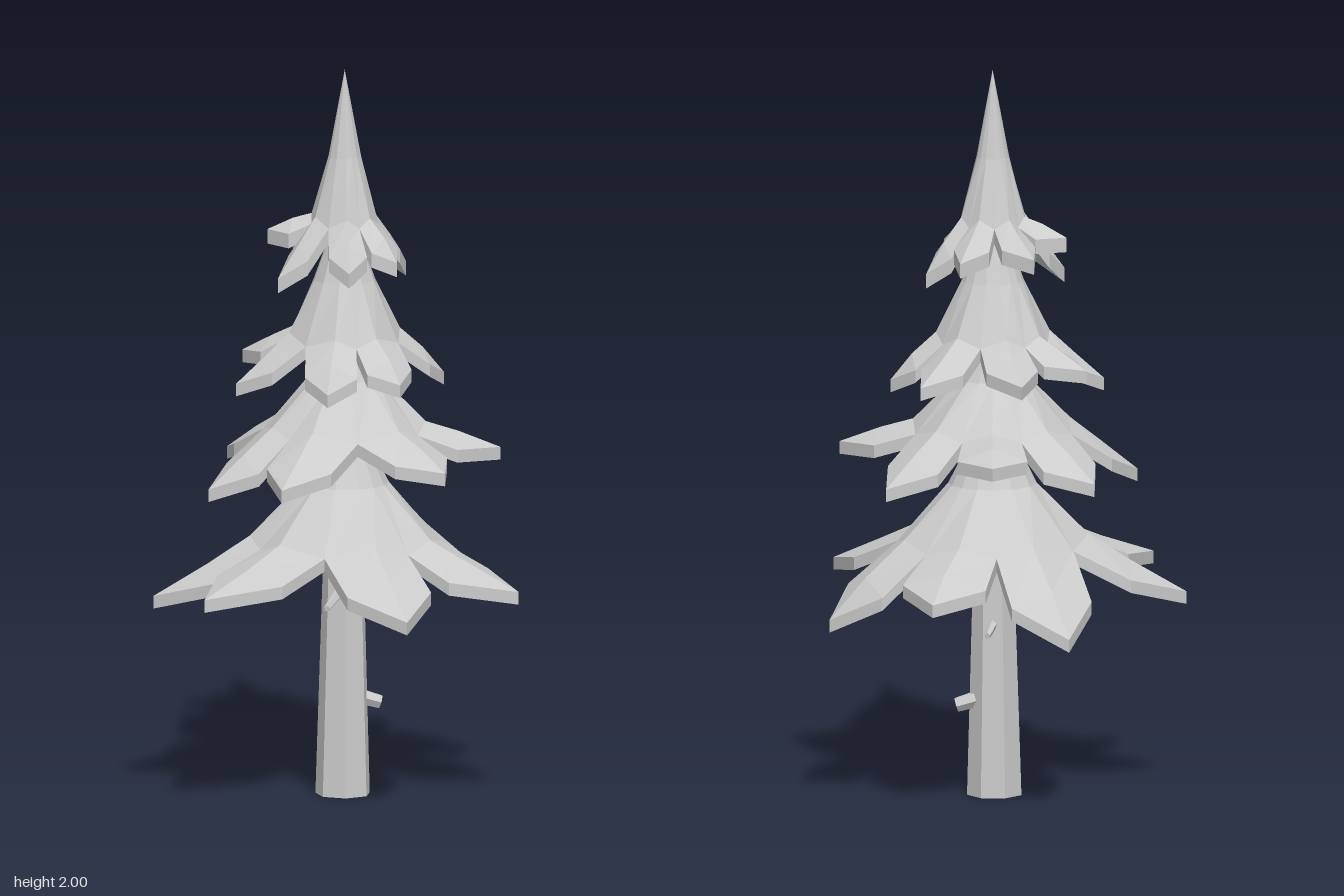
import * as THREE from 'three';

const material = new THREE.MeshStandardMaterial({ color: 0xcccccc, flatShading: true });
const CENTRE = new THREE.Vector3(0.035, 0, -0.035);

// Each tier: rings [radius, height] from trunk to the notches between boughs,
// corner radius and half width of a bough, and tips as [x, y, z]
const TIERS = [
  {
    name: 'bottomTier', rings: [[0.04, 1.02], [0.12, 0.86], [0.26, 0.72]], corner: 0.375, half: 0.12, thick: 0.035,
    tips: [[-0.49, 0.56, 0], [-0.38, 0.61, 0.335], [0.16, 0.565, 0.475], [0.485, 0.6, 0.24],
      [0.465, 0.515, -0.25], [0.17, 0.6, -0.48], [-0.2, 0.505, -0.46]],
  },
  {
    name: 'lowerMiddleTier', rings: [[0.04, 1.28], [0.1, 1.15], [0.22, 1.03]], corner: 0.31, half: 0.095, thick: 0.035,
    tips: [[-0.35, 0.875, 0.12], [-0.17, 0.91, 0.34], [0.28, 0.94, 0.29], [0.455, 0.96, 0.02],
      [0.305, 0.895, -0.35], [0.01, 0.97, -0.435], [-0.26, 0.91, -0.32]],
  },
  {
    name: 'upperMiddleTier', rings: [[0.035, 1.56], [0.085, 1.42], [0.155, 1.28]], corner: 0.22, half: 0.072, thick: 0.035,
    tips: [[-0.265, 1.145, 0.01], [-0.035, 1.15, 0.23], [0.165, 1.17, 0.205], [0.31, 1.15, -0.085],
      [0.215, 1.165, -0.295], [-0.065, 1.18, -0.35], [-0.23, 1.2, -0.195]],
  },
  {
    name: 'topTier', rings: [[0, 2], [0.045, 1.76], [0.092, 1.6]], corner: 0.145, half: 0.052, thick: 0.04,
    tips: [[-0.155, 1.44, 0.05], [0.03, 1.47, 0.155], [0.165, 1.49, 0.105], [0.21, 1.45, -0.125],
      [0.11, 1.5, -0.245], [-0.09, 1.51, -0.23], [-0.17, 1.55, -0.1]],
  },
];

const polar = (r, a, y) => new THREE.Vector3(CENTRE.x + r * Math.cos(a), y, CENTRE.z + r * Math.sin(a));

// One drooping, pointed bough: rows of left, middle, right points, thickened downwards
function makeBough(tier, tip, angle, leftAngle, rightAngle) {
  const rows = tier.rings.map(([r, y], i) => {
    const drop = i === 2 ? 0.025 : 0;
    return [polar(r, leftAngle, y - drop), polar(r, angle, y), polar(r, rightAngle, y - drop)];
  });
  const end = new THREE.Vector3(...tip);
  const cornerY = THREE.MathUtils.lerp(tier.rings[2][1], tip[1], 0.52);
  const spread = Math.atan2(tier.half, tier.corner);
  const reach = Math.hypot(tier.half, tier.corner);
  rows.push([
    polar(reach, angle - spread, cornerY - 0.025),
    polar(tier.corner, angle, cornerY + 0.01),
    polar(reach, angle + spread, cornerY - 0.025),
  ]);
  rows.push([end, end, end]);
  const under = rows.map((row) => row.map((p) => p.clone().setY(p.y - tier.thick)));

  const positions = [];
  const tri = (a, b, c) => {
    if (a.equals(b) || b.equals(c) || a.equals(c)) return;
    for (const p of [a, b, c]) positions.push(p.x, p.y, p.z);
  };
  const quad = (a, b, c, d) => { tri(a, b, c); tri(a, c, d); };

  for (let i = 0; i < rows.length - 1; i++) {
    for (let j = 0; j < 2; j++) {
      quad(rows[i][j], rows[i][j + 1], rows[i + 1][j + 1], rows[i + 1][j]);
      quad(under[i][j], under[i + 1][j], under[i + 1][j + 1], under[i][j + 1]);
    }
    // Rim, only where the bough is free of its neighbours
    if (i >= 2) {
      quad(rows[i][0], rows[i + 1][0], under[i + 1][0], under[i][0]);
      quad(rows[i][2], under[i][2], under[i + 1][2], rows[i + 1][2]);
    }
  }
  const geometry = new THREE.BufferGeometry();
  geometry.setAttribute('position', new THREE.Float32BufferAttribute(positions, 3));
  geometry.computeVertexNormals();
  return geometry;
}

function makeTier(tier) {
  const group = new THREE.Group();
  group.name = tier.name;
  const boughs = tier.tips
    .map((tip) => ({ tip, angle: Math.atan2(tip[2] - CENTRE.z, tip[0] - CENTRE.x) }))
    .sort((a, b) => a.angle - b.angle);
  const n = boughs.length;
  boughs.forEach(({ tip, angle }, i) => {
    // Neighbouring boughs meet halfway between their tips
    const before = boughs[(i + n - 1) % n].angle - (i === 0 ? 2 * Math.PI : 0);
    const after = boughs[(i + 1) % n].angle + (i === n - 1 ? 2 * Math.PI : 0);
    const mesh = new THREE.Mesh(makeBough(tier, tip, angle, (before + angle) / 2, (angle + after) / 2), material);
    mesh.name = 'bough';
    group.add(mesh);
  });
  return group;
}

// Tapered stick between two points
function makeStick(name, from, to, r0, r1, sides) {
  const a = new THREE.Vector3(...from);
  const b = new THREE.Vector3(...to);
  const dir = b.clone().sub(a);
  const mesh = new THREE.Mesh(new THREE.CylinderGeometry(r1, r0, dir.length(), sides), material);
  mesh.position.copy(a).add(b).multiplyScalar(0.5);
  mesh.quaternion.setFromUnitVectors(new THREE.Vector3(0, 1, 0), dir.normalize());
  mesh.name = name;
  return mesh;
}

export function createModel() {
  const tree = new THREE.Group();
  tree.name = 'pineTree';

  // Trunk and its broken twigs
  tree.add(makeStick('trunk', [0.03, 0, -0.028], [CENTRE.x, 1.7, CENTRE.z], 0.076, 0.025, 7));
  tree.add(makeStick('stub', [0.06, 0.27, -0.045], [0.133, 0.248, -0.05], 0.024, 0.02, 6));
  tree.add(makeStick('twig', [0.03, 0.48, -0.06], [0.04, 0.462, -0.178], 0.014, 0.009, 5));
  tree.add(makeStick('twig', [0.02, 0.565, 0], [-0.03, 0.545, 0.15], 0.014, 0.009, 5));

  for (const tier of TIERS) tree.add(makeTier(tier));
  return tree;
}
